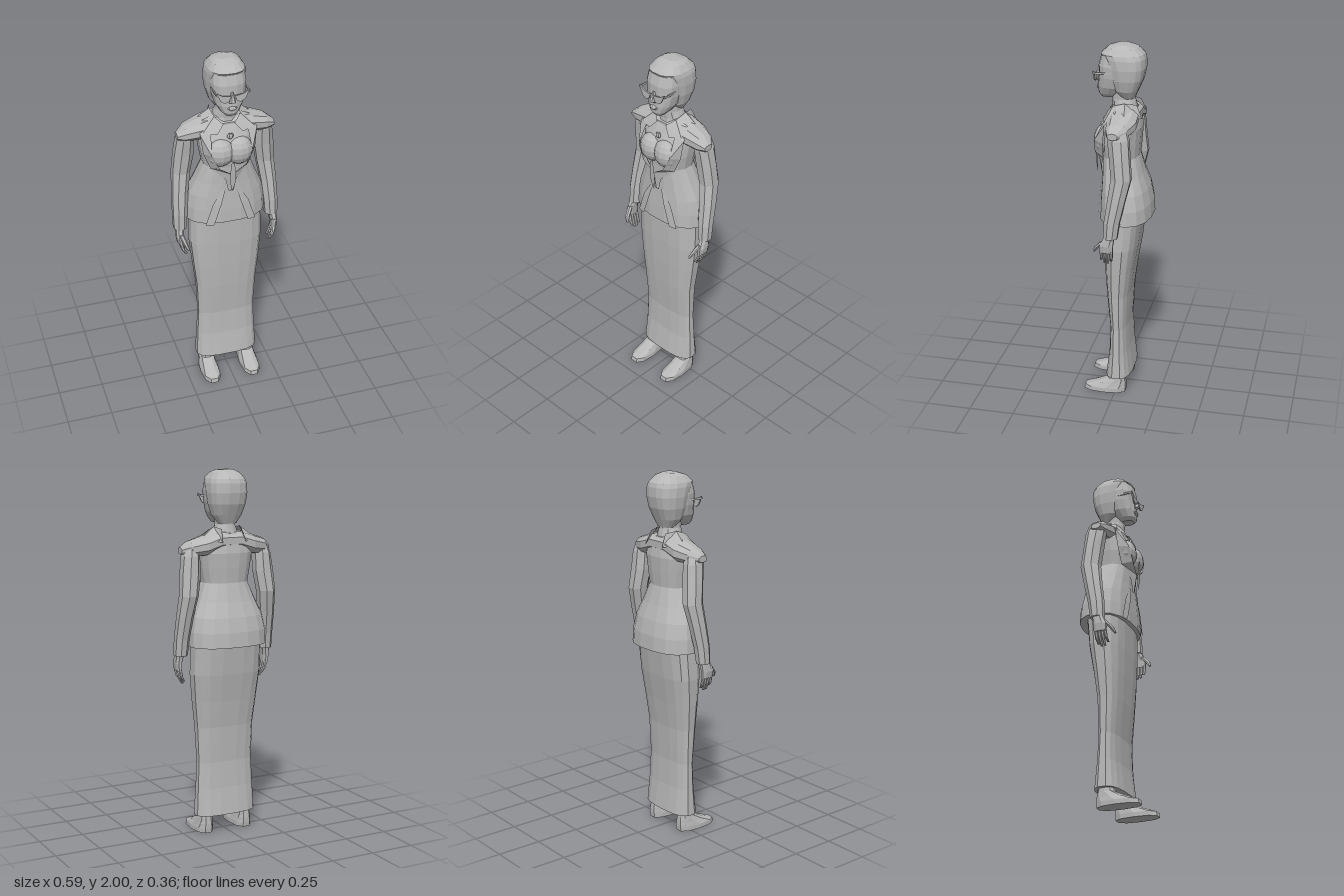
import * as THREE from 'three';

const grey = new THREE.MeshStandardMaterial({ color: 0xb8b8b8, flatShading: true, side: THREE.DoubleSide });
grey.name = 'plain grey';

// Loft through level rings, bottom to top; ring = [centreX, y, zFront, zBack, halfWidth]
function loft(rings, sides = 16, power = 2.4) {
  const pos = [], idx = [];
  const curve = (v) => Math.sign(v) * Math.abs(v) ** (2 / power);
  for (const [cx, y, zf, zb, rx] of rings) {
    for (let j = 0; j < sides; j++) {
      const a = ((j + 0.5) / sides) * Math.PI * 2;
      pos.push(cx + rx * curve(Math.sin(a)), y, (zf + zb) / 2 + ((zf - zb) / 2) * curve(Math.cos(a)));
    }
  }
  for (let i = 0; i < rings.length - 1; i++) {
    for (let j = 0; j < sides; j++) {
      const k = (j + 1) % sides, a = i * sides, b = a + sides;
      idx.push(a + j, a + k, b + k, a + j, b + k, b + j);
    }
  }
  const top = (rings.length - 1) * sides;
  for (let j = 1; j < sides - 1; j++) idx.push(0, j + 1, j, top, top + j, top + j + 1);
  return buffer(pos, idx);
}

function buffer(pos, idx) {
  const g = new THREE.BufferGeometry();
  g.setAttribute('position', new THREE.Float32BufferAttribute(pos, 3));
  g.setIndex(idx);
  g.computeVertexNormals();
  return g;
}

// Open strip between two edges; each row = [edge point, other edge point]
function ribbon(rows, s = 1) {
  const pos = [], idx = [];
  rows.forEach(([a, b], i) => {
    pos.push(s * a[0], a[1], a[2], s * b[0], b[1], b[2]);
    const n = i * 2;
    if (i && s > 0) idx.push(n - 2, n, n - 1, n - 1, n, n + 1);
    if (i && s < 0) idx.push(n - 2, n - 1, n, n - 1, n + 1, n);
  });
  return buffer(pos, idx);
}

function outline(points) {
  return points.map(([x, y]) => new THREE.Vector2(x, y));
}

export function createModel() {
  const model = new THREE.Group();
  const add = (name, geometry, x = 0, y = 0, z = 0) => {
    const mesh = new THREE.Mesh(geometry, grey);
    mesh.name = name;
    mesh.position.set(x, y, z);
    model.add(mesh);
    return mesh;
  };

  // Long narrow skirt
  add('skirt', loft([
    [0, 0.1, 0.065, -0.085, 0.18], [0, 0.25, 0.045, -0.067, 0.172], [0, 0.4, 0.04, -0.06, 0.165],
    [0, 0.6, 0.058, -0.07, 0.173], [0, 0.75, 0.067, -0.09, 0.19], [0, 0.9, 0.073, -0.115, 0.204],
    [0, 1.08, 0.075, -0.135, 0.2],
  ], 16, 2.8));

  // Fitted jacket with flared hem
  add('jacket', loft([
    [0, 1.06, 0.1, -0.185, 0.225], [0, 1.14, 0.098, -0.18, 0.221], [0, 1.22, 0.093, -0.163, 0.205],
    [0, 1.3, 0.09, -0.135, 0.17], [0, 1.4, 0.09, -0.108, 0.13], [0, 1.48, 0.1, -0.115, 0.145],
    [0, 1.56, 0.085, -0.12, 0.155], [0, 1.62, 0.055, -0.11, 0.135], [0, 1.665, 0.03, -0.095, 0.085],
  ]));

  // Broad shoulders, lofted sideways (ring x is minus the height)
  const shoulderHalf = [
    [-1.625, 0.06, 0.05, -0.115, 0.055], [-1.6, 0.14, 0.05, -0.115, 0.055],
    [-1.585, 0.22, 0.033, -0.085, 0.045], [-1.577, 0.265, 0.015, -0.04, 0.018],
  ];
  const mirrored = shoulderHalf.map(([h, x, ...r]) => [h, -x, ...r]).reverse();
  add('shoulders', loft([...mirrored, ...shoulderHalf], 10, 2.2).rotateZ(-Math.PI / 2));

  // Neck, face and close hair cap
  add('neck', loft([
    [0, 1.62, 0.045, -0.1, 0.11], [0, 1.67, 0.04, -0.09, 0.068],
    [0, 1.71, 0.045, -0.082, 0.053], [0, 1.78, 0.05, -0.085, 0.055],
  ], 12, 2));
  add('face', loft([
    [0, 1.715, 0.102, 0.03, 0.03], [0, 1.735, 0.115, 0, 0.05], [0, 1.775, 0.117, -0.04, 0.075],
    [0, 1.83, 0.112, -0.05, 0.09], [0, 1.89, 0.112, -0.05, 0.095], [0, 1.945, 0.098, -0.05, 0.088],
    [0, 1.97, 0.06, -0.04, 0.06],
  ], 14));
  add('hair', loft([
    [0, 1.715, -0.01, -0.08, 0.05], [0, 1.76, 0.03, -0.1, 0.082], [0, 1.82, 0.05, -0.126, 0.1],
    [0, 1.88, 0.065, -0.138, 0.107], [0, 1.93, 0.085, -0.137, 0.105], [0, 1.953, 0.1, -0.13, 0.098],
    [0, 1.985, 0.065, -0.095, 0.074], [0, 2, 0.02, -0.05, 0.045],
  ], 16, 2.6));

  // Nose and lips
  add('nose', loft([
    [0, 1.795, 0.118, 0.1, 0.018], [0, 1.805, 0.14, 0.1, 0.016], [0, 1.855, 0.118, 0.1, 0.007],
  ], 6, 2));
  add('lips', new THREE.SphereGeometry(1, 8, 6).scale(0.026, 0.012, 0.012), 0, 1.765, 0.115);

  // Winged spectacles
  add('glassesBridge', new THREE.BoxGeometry(0.024, 0.008, 0.008), 0, 1.84, 0.126);
  const lens = [[0.01, 1.842], [0.02, 1.815], [0.042, 1.805], [0.065, 1.82], [0.088, 1.87], [0.055, 1.85]];

  // Neckline tie and pendant
  add('tie', ribbon([
    [[-0.008, 1.45, 0.135], [0.008, 1.45, 0.135]], [[-0.016, 1.38, 0.132], [0.016, 1.38, 0.132]],
    [[-0.016, 1.33, 0.128], [0.016, 1.33, 0.128]], [[0, 1.27, 0.124], [0.001, 1.27, 0.124]],
  ]));
  add('pendant', new THREE.SphereGeometry(0.018, 6, 5).scale(1, 1, 0.6), 0, 1.585, 0.083);

  for (const s of [1, -1]) {
    const side = s > 0 ? 'left' : 'right';
    const lensShape = new THREE.Shape(outline(lens.map(([x, y]) => [s * x, y])));
    add(side + 'Lens', new THREE.ExtrudeGeometry(lensShape, { depth: 0.008, bevelEnabled: false }), 0, 0, 0.122);
    add(side + 'Temple', new THREE.BoxGeometry(0.006, 0.01, 0.1), s * 0.088, 1.858, 0.078);

    // Bust
    add(side + 'Bust', new THREE.SphereGeometry(1, 12, 8).scale(0.075, 0.08, 0.06), s * 0.05, 1.49, 0.073);

    // Lapel, collar flap and cutaway front edge
    add(side + 'Lapel', ribbon([
      [[0.075, 1.685, 0.01], [0.13, 1.655, 0]], [[0.1, 1.61, 0.065], [0.155, 1.6, 0.053]],
      [[0.11, 1.5, 0.118], [0.142, 1.49, 0.065]], [[0.07, 1.42, 0.125], [0.105, 1.4, 0.07]],
      [[0, 1.37, 0.118], [0.03, 1.33, 0.097]], [[0, 1.26, 0.1], [0.015, 1.26, 0.097]],
    ], s));
    add(side + 'Collar', ribbon([
      [[0.06, 1.69, -0.1], [0.07, 1.62, -0.13]], [[0.078, 1.7, -0.04], [0.15, 1.645, -0.05]],
      [[0.07, 1.68, 0.025], [0.14, 1.61, 0.058]], [[0.03, 1.645, 0.06], [0.07, 1.6, 0.08]],
    ], s));
    add(side + 'FrontEdge', ribbon([
      [[0.03, 1.27, 0.095], [0.045, 1.27, 0.092]], [[0.055, 1.18, 0.102], [0.1, 1.18, 0.093]],
      [[0.095, 1.055, 0.102], [0.14, 1.055, 0.092]],
    ], s));

    // Sleeve with a slight bend at the elbow
    add(side + 'Sleeve', loft([
      [0.26, 1.01, 0.038, -0.042, 0.038], [0.257, 1.1, 0.035, -0.055, 0.042],
      [0.249, 1.22, 0.018, -0.083, 0.046], [0.235, 1.34, 0.002, -0.112, 0.052],
      [0.222, 1.45, 0.012, -0.102, 0.057], [0.215, 1.55, 0.025, -0.095, 0.05],
      [0.21, 1.6, 0.02, -0.08, 0.035],
    ].map(([x, ...r]) => [s * x, ...r]), 8, 2));

    // Hand: palm, four fingers and thumb
    add(side + 'Palm', loft([
      [s * 0.268, 0.925, 0.055, -0.018, 0.013], [s * 0.27, 0.965, 0.058, -0.02, 0.019],
      [s * 0.263, 1.03, 0.027, -0.027, 0.024],
    ], 8, 2.4));
    for (let i = 0; i < 4; i++) {
      const z = -0.008 + i * 0.018;
      const tip = [0.865, 0.85, 0.853, 0.87][i];
      add(side + 'Finger' + (i + 1), loft([
        [s * 0.24, tip, z + 0.014, z, 0.006], [s * 0.257, 0.89, z + 0.011, z - 0.006, 0.009],
        [s * 0.268, 0.935, z + 0.009, z - 0.009, 0.011],
      ], 6, 2));
    }
    add(side + 'Thumb', loft([
      [s * 0.238, 0.915, 0.1, 0.085, 0.008], [s * 0.25, 0.945, 0.09, 0.062, 0.012],
      [s * 0.264, 0.985, 0.055, 0.025, 0.014],
    ], 6, 2));

    // Pointed shoe and ankle
    add(side + 'Shoe', loft([
      [s * 0.12, 0, 0.185, -0.06, 0.053], [s * 0.12, 0.025, 0.18, -0.062, 0.053],
      [s * 0.12, 0.05, 0.11, -0.06, 0.046], [s * 0.12, 0.08, 0.045, -0.055, 0.04],
      [s * 0.12, 0.14, 0.025, -0.045, 0.034],
    ], 10, 2.5));
  }
  return model;
}
